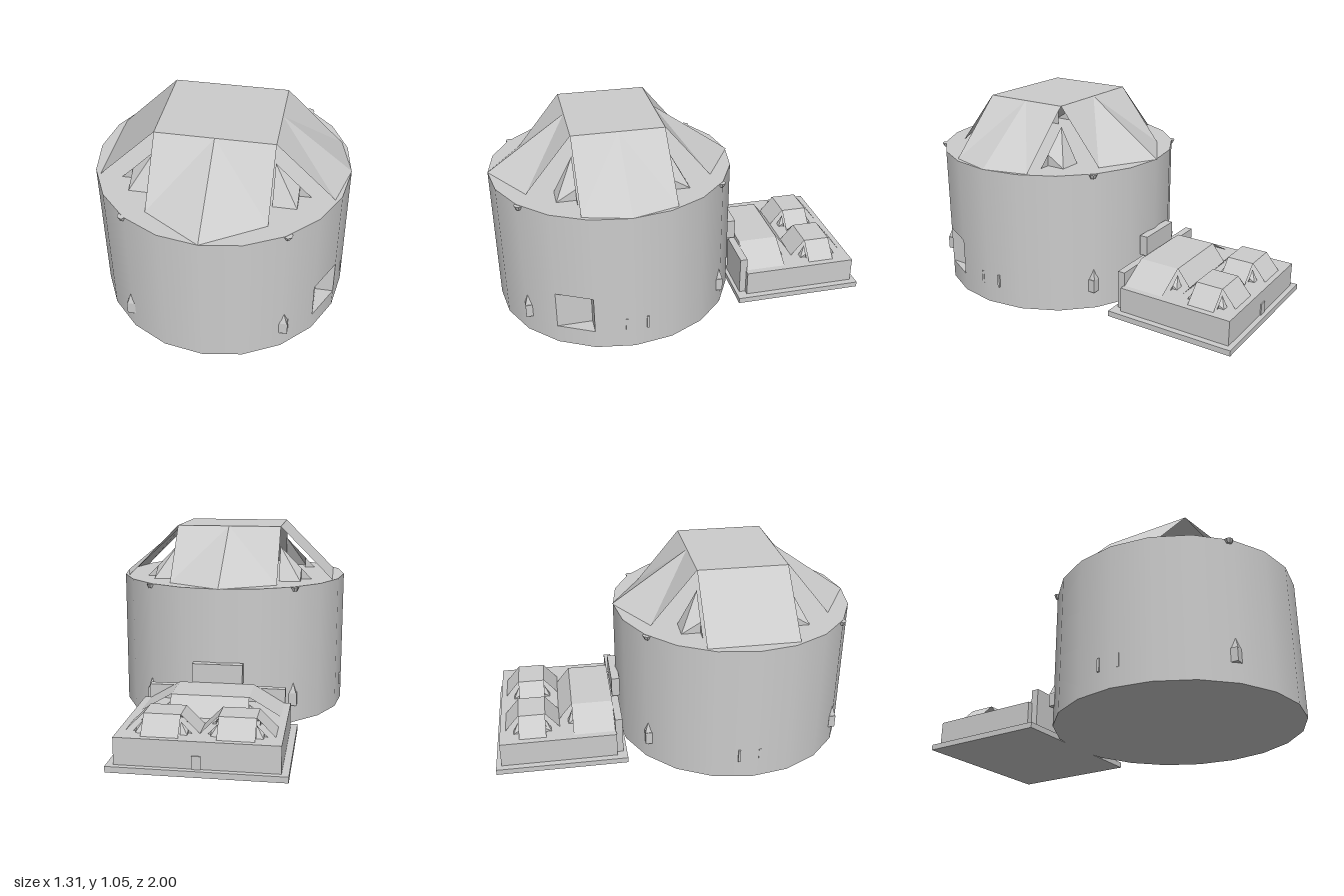
import * as THREE from 'three';

const grey = new THREE.MeshStandardMaterial({ color: 0xcccccc, side: THREE.DoubleSide });
const greyFlat = new THREE.MeshStandardMaterial({ color: 0xcccccc, side: THREE.DoubleSide, flatShading: true });

const R = 0.655, H = 0.76, CZ = 0.345, SIDES = 20;

function add(parent, name, geometry, x = 0, y = 0, z = 0, material = greyFlat) {
  const mesh = new THREE.Mesh(geometry, material);
  mesh.name = name;
  mesh.position.set(x, y, z);
  parent.add(mesh);
  return mesh;
}

// Box given by its limits
function block(parent, name, x0, x1, y0, y1, z0, z1) {
  return add(parent, name, new THREE.BoxGeometry(x1 - x0, y1 - y0, z1 - z0),
    (x0 + x1) / 2, (y0 + y1) / 2, (z0 + z1) / 2);
}

// Convex polygons, each fanned into triangles from its first corner
function polygons(list) {
  const pos = [];
  for (const p of list)
    for (let i = 1; i < p.length - 1; i++) pos.push(...p[0], ...p[i], ...p[i + 1]);
  const g = new THREE.BufferGeometry();
  g.setAttribute('position', new THREE.Float32BufferAttribute(pos, 3));
  g.computeVertexNormals();
  return g;
}

// Faceted roof: flat plate, four sloping panels (optionally pointed) and low corner hips
function crossRoof(parent, name, o) {
  const { w, d, h, right, left, front, back, tips = {}, corner } = o;
  const roof = new THREE.Group();
  roof.name = name;
  roof.position.set(o.x || 0, o.y, o.z);
  parent.add(roof);
  add(roof, 'roofPlate', polygons([[[-w, h, d], [w, h, d], [w, h, -d], [-w, h, -d]]]));

  // out = distance along the panel direction, s = sideways
  const panel = (label, map, half, inner, reach, tip) => {
    const P = (s, y, out) => map(s, y, out);
    const end = inner + reach;
    const faces = [];
    if (tip) {
      for (const s of [-1, 1]) faces.push(
        [P(0, h, inner), P(s * half, h, inner), P(s * half, 0, end), P(0, 0, tip)]);
    } else faces.push([P(-half, h, inner), P(half, h, inner), P(half, 0, end), P(-half, 0, end)]);
    add(roof, label, polygons(faces));
  };
  panel('frontPanel', (s, y, t) => [s, y, t], w, d, front, tips.front);
  panel('backPanel', (s, y, t) => [-s, y, -t], w, d, back, tips.back);
  panel('leftPanel', (s, y, t) => [t, y, -s], d, w, right, tips.right);
  panel('rightPanel', (s, y, t) => [-t, y, s], d, w, left, tips.left);

  // Corner hips tucked under the panels
  const { cx, cz, ch } = corner;
  const hips = [];
  for (const sx of [-1, 1]) for (const sz of [-1, 1]) {
    const A = [sx * w, ch, sz * d], B = [sx * (w + cx), ch * 0.33, sz * d];
    const C = [sx * (w + cx), 0, sz * (d + cz)], D = [sx * w, 0, sz * (d + cz)];
    hips.push([A, B, C, D], [B, C, [sx * (w + cx), 0, sz * d]],
      [B, [sx * (w + cx * 1.5), 0, sz * d], [sx * (w + cx), 0, sz * d]], [A, D, [sx * w, 0, sz * d]]);
  }
  add(roof, 'cornerHips', polygons(hips));
}

function buildDrum(model) {
  const drum = new THREE.Group();
  drum.name = 'drum';
  drum.position.z = CZ;
  model.add(drum);

  // Wall in three rings; the middle one leaves out one facet for the alcove
  const step = Math.PI * 2 / SIDES, y0 = 0.1, y1 = 0.3;
  const ring = (name, a, b, start = 0, n = SIDES) => add(drum, name,
    new THREE.CylinderGeometry(R, R, b - a, n, 1, true, start, n * step), 0, (a + b) / 2, 0, grey);
  ring('lowerWall', 0, y0);
  ring('middleWall', y0, y1, 4 * step, SIDES - 1);
  ring('upperWall', y1, H);
  add(drum, 'drumTop', new THREE.CircleGeometry(R, SIDES).rotateX(-Math.PI / 2).rotateY(Math.PI / 2), 0, H, 0);
  add(drum, 'drumFloor', new THREE.CircleGeometry(R, SIDES).rotateX(Math.PI / 2).rotateY(Math.PI / 2));

  // Alcove: a three-cornered notch
  const xa = R * Math.sin(3 * step), za = R * Math.cos(3 * step);
  const xb = R * Math.sin(4 * step), zb = R * Math.cos(4 * step);
  add(drum, 'alcove', polygons([
    [[xa, y0, zb], [xb, y0, zb], [xb, y1, zb], [xa, y1, zb]],
    [[xa, y0, za], [xa, y0, zb], [xa, y1, zb], [xa, y1, za]],
    [[xa, y0, za], [xb, y0, zb], [xa, y0, zb]],
    [[xa, y1, za], [xa, y1, zb], [xb, y1, zb]],
  ]));

  // Wall lamps with pointed caps, rim lights above them, and slits on the sides
  for (const sx of [-1, 1]) {
    for (const sz of [-1, 1]) {
      const x = sx * 0.394, z = sz * 0.518;
      add(drum, 'wallLamp', new THREE.BoxGeometry(0.045, 0.07, 0.036), x, 0.135, z);
      add(drum, 'lampCap', new THREE.ConeGeometry(0.026, 0.06, 4).rotateY(Math.PI / 4), x, 0.2, z);
      add(drum, 'rimLight', new THREE.CylinderGeometry(0.024, 0.014, 0.022, 8), x, 0.747, z);
    }
    for (const z of [-0.07, 0.04])
      add(drum, 'wallSlit', new THREE.BoxGeometry(0.012, 0.07, 0.012), sx * 0.646, 0.135, z);
  }

  crossRoof(model, 'drumRoof', {
    y: H, z: CZ - 0.005, w: 0.295, d: 0.24, h: 0.295,
    right: 0.295, left: 0.295, front: 0.24, back: 0.24,
    tips: { front: 0.66, back: 0.655, right: 0.36 + 0.295 },
    corner: { cx: 0.12, cz: 0.1, ch: 0.185 },
  });
}

function buildAnnex(model) {
  const annex = new THREE.Group();
  annex.name = 'annex';
  model.add(annex);
  const top = 0.165;
  block(annex, 'basePlate', -0.43, 0.43, 0, 0.03, -1, -0.29);
  block(annex, 'annexBody', -0.395, 0.395, 0.03, top, -0.972, -0.345);
  block(annex, 'backDoor', -0.022, 0.022, 0.03, 0.095, -0.978, -0.97);

  // Walls where the annex meets the drum
  block(annex, 'linkHeader', -0.135, 0.135, 0.25, 0.36, -0.345, -0.3);
  for (const s of [-1, 1]) {
    const [a, b] = s < 0 ? [-0.365, -0.12] : [0.12, 0.365];
    block(annex, 'linkWall', a, b, 0.03, 0.24, -0.35, -0.31);
  }

  crossRoof(annex, 'hallRoof', {
    y: top, z: -0.4625, w: 0.2, d: 0.1125, h: 0.095,
    right: 0.16, left: 0.16, front: 0.01, back: 0.075,
    corner: { cx: 0.05, cz: 0.025, ch: 0.06 },
  });
  for (const s of [-1, 1]) {
    crossRoof(annex, 'smallRoof', {
      x: s * 0.18, y: top, z: -0.795, w: 0.09, d: 0.0725, h: 0.09,
      right: 0.09, left: 0.09, front: 0.075, back: 0.075,
      corner: { cx: 0.035, cz: 0.03, ch: 0.056 },
    });
  }
}

export function createModel() {
  const model = new THREE.Group();
  model.name = 'roundTowerWithAnnex';
  buildDrum(model);
  buildAnnex(model);
  return model;
}
